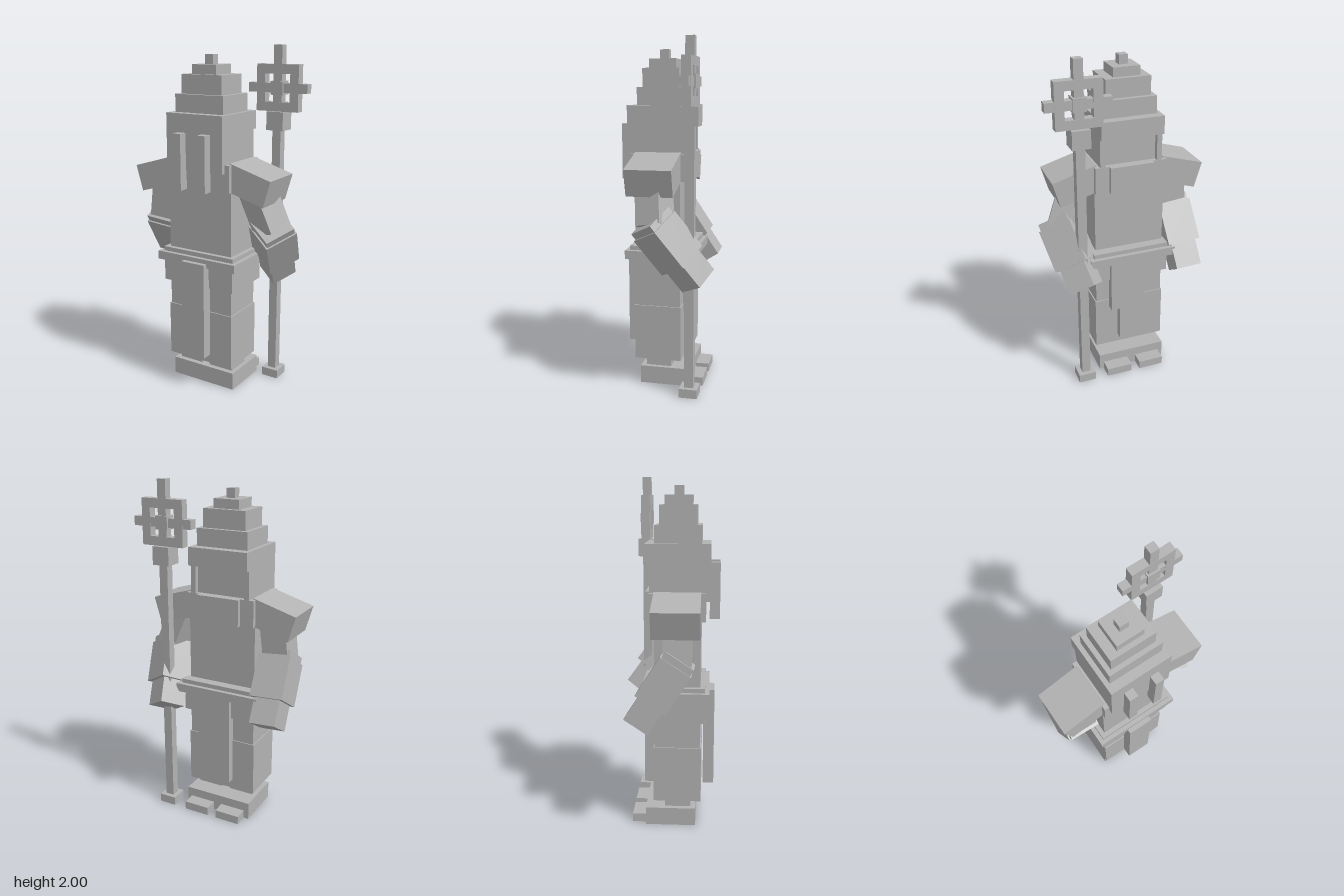
import * as THREE from 'three';

export function createModel() {
  const model = new THREE.Group();
  const stone = new THREE.MeshStandardMaterial({ color: 0xb3b3b3 });
  stone.name = 'stone grey';
  const MID = -0.04; // the body's own centre line

  // Box given by its minimum and maximum on each axis
  function block(name, x0, x1, y0, y1, z0, z1, parent = model) {
    const mesh = new THREE.Mesh(new THREE.BoxGeometry(x1 - x0, y1 - y0, z1 - z0), stone);
    mesh.position.set((x0 + x1) / 2, (y0 + y1) / 2, (z0 + z1) / 2);
    mesh.name = name;
    parent.add(mesh);
    return mesh;
  }
  // Box centred on the body, given by its half width
  const centred = (name, half, y0, y1, z0, z1) => block(name, MID - half, MID + half, y0, y1, z0, z1);

  // Base, boots and toes
  centred('base', 0.211, 0, 0.105, -0.13, 0.16);
  for (const [side, x0, x1] of [['right', -0.22, -0.066], ['left', -0.012, 0.145]]) {
    block(side + 'Boot', x0, x1, 0.1, 0.17, -0.02, 0.13);
    block(side + 'Toe', x0, x1, 0, 0.05, -0.21, -0.12);
  }

  // Robe, hips and torso
  centred('robeSkirt', 0.217, 0.155, 0.48, -0.083, 0.19);
  centred('torso', 0.21, 0.48, 1.24, -0.077, 0.183);
  centred('hips', 0.235, 0.635, 0.77, -0.105, 0.21);
  centred('belt', 0.263, 0.765, 0.815, -0.16, 0.235);
  centred('beltRim', 0.237, 0.815, 0.84, -0.135, 0.21);
  centred('frontTabard', 0.077, 0.213, 0.79, 0.2, 0.264);
  centred('backTabard', 0.077, 0.213, 0.77, -0.131, -0.08);
  block('backSash', 0.037, 0.09, 0.43, 0.77, -0.131, -0.08);

  // Collar, head and face
  centred('collar', 0.212, 1.213, 1.368, -0.106, 0.21);
  centred('capePlate', 0.13, 1.213, 1.368, -0.132, -0.1);
  centred('head', 0.183, 1.32, 1.55, -0.077, 0.236);
  centred('headBand', 0.183, 1.53, 1.635, -0.132, 0.236);
  for (const s of [-1, 1]) {
    const x = MID + s * 0.168;
    block('hairStrand', x - 0.015, x + 0.015, 1.36, 1.54, -0.105, -0.07);
    const t = MID + s * 0.08;
    block('beardBraid', t - 0.026, t + 0.026, 1.213, 1.53, 0.23, 0.288);
  }

  // Stepped hat
  [[0.157, 1.635, 1.735, 0.131], [0.131, 1.735, 1.842, 0.105],
    [0.078, 1.842, 1.895, 0.078], [0.026, 1.895, 1.948, 0.026]].forEach(([half, y0, y1, d], i) =>
    centred('hatTier' + (i + 1), half, y0, y1, 0.053 - d, 0.053 + d));

  // Sloping shoulder guards
  for (const s of [-1, 1]) {
    const guard = new THREE.Mesh(new THREE.BoxGeometry(0.262, 0.156, 0.262), stone);
    guard.position.set(MID + s * 0.304, 1.264, 0.052);
    guard.rotation.z = -s * 0.285;
    guard.name = s < 0 ? 'rightShoulder' : 'leftShoulder';
    model.add(guard);
  }

  // Group that starts at a joint, runs down its own -y, with x near the given width direction
  function joint(name, start, dir, width) {
    const y = new THREE.Vector3(...dir).normalize().negate();
    const z = new THREE.Vector3(...width).cross(y).normalize();
    const x = new THREE.Vector3().crossVectors(y, z);
    const group = new THREE.Group();
    group.quaternion.setFromRotationMatrix(new THREE.Matrix4().makeBasis(x, y, z));
    group.position.set(...start);
    group.name = name;
    model.add(group);
    return group;
  }
  function segment(name, half, from, to, parent) {
    block(name, -half, half, -to, -from, -half, half, parent);
  }
  function forearm(name, start, dir, width) {
    const g = joint(name, start, dir, width);
    segment('cuff', 0.09, -0.055, 0, g);
    segment('glove', 0.099, -0.015, 0.235, g);
    segment('hand', 0.078, 0.235, 0.385, g);
  }

  // Right arm hangs, left arm reaches back to the staff
  segment('upperArm', 0.077, 0, 0.26, joint('rightUpperArm', [-0.325, 1.23, 0.06], [-0.03, -0.25, 0], [1, -0.12, 0]));
  forearm('rightForearm', [-0.355, 0.985, 0.047], [-0.05, -0.84, -0.545], [1, -0.1, 0]);
  segment('upperArm', 0.077, 0, 0.27, joint('leftUpperArm', [0.25, 1.24, 0.055], [0.095, -0.25, -0.03], [0.9, 0.3, 0.35]));
  forearm('leftForearm', [0.346, 0.98, 0.02], [-0.2, -0.79, -0.575], [0.81, -0.41, 0.41]);

  // Staff with a square ring and a cross
  const SX = 0.277, SZ = -0.156, HY = 1.765;
  const staff = new THREE.Group();
  staff.name = 'staff';
  model.add(staff);
  const part = (name, cx, hx, y0, y1, hz) => block(name, SX + cx - hx, SX + cx + hx, y0, y1, SZ - hz, SZ + hz, staff);
  part('shaft', 0, 0.026, 0.05, 1.535, 0.026);
  part('foot', 0, 0.052, 0, 0.052, 0.052);
  part('staffCollar', 0, 0.052, 1.53, 1.635, 0.052);
  part('core', 0, 0.038, HY - 0.038, HY + 0.038, 0.036);
  part('crossUpright', 0, 0.026, 1.63, 2, 0.025);
  part('crossBar', 0, 0.183, HY - 0.026, HY + 0.026, 0.025);
  for (const s of [-1, 1]) {
    part('ringSide', s * 0.104, 0.026, HY - 0.13, HY + 0.13, 0.026);
    part('ringEdge', 0, 0.078, HY + s * 0.104 - 0.026, HY + s * 0.104 + 0.026, 0.026);
  }

  return model;
}
